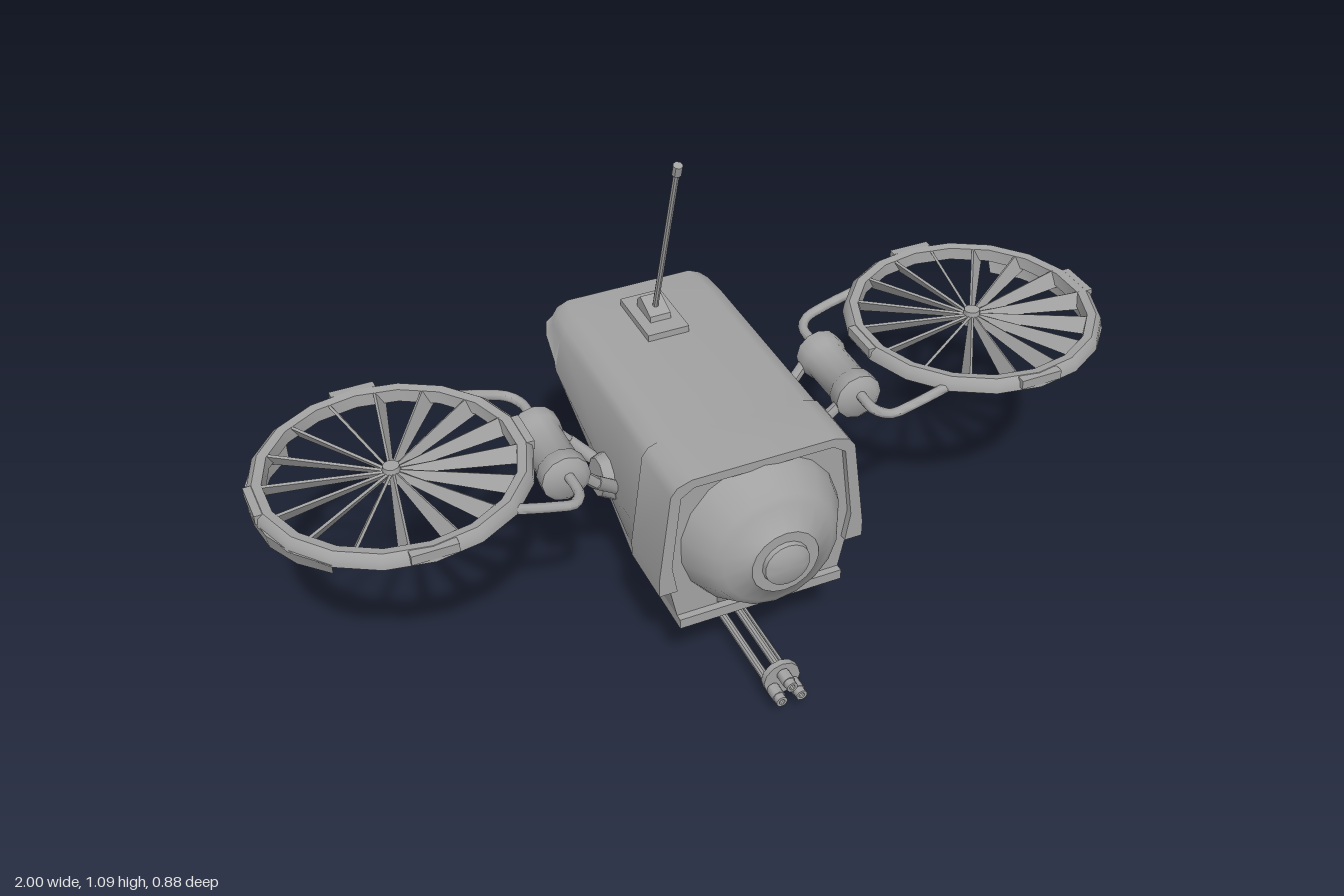
import * as THREE from 'three';
import { toCreasedNormals } from 'three/addons/utils/BufferGeometryUtils.js';

const grey = new THREE.MeshStandardMaterial({ color: 0xa2a2a2 });
const V = (x, y, z) => new THREE.Vector3(x, y, z);

function add(parent, name, geometry, x = 0, y = 0, z = 0, crease = 0.8) {
  const mesh = new THREE.Mesh(toCreasedNormals(geometry, crease), grey);
  mesh.name = name;
  mesh.position.set(x, y, z);
  parent.add(mesh);
  return mesh;
}

const box = (w, h, d) => new THREE.BoxGeometry(w, h, d);
const cyl = (r1, r2, h, n = 12) => new THREE.CylinderGeometry(r1, r2, h, n);
const lathe = (pts, n, start = 0, len = Math.PI * 2) =>
  new THREE.LatheGeometry(pts.map(p => new THREE.Vector2(...p)), n, start, len);
const shapeOf = pts => new THREE.Shape(pts.map(p => new THREE.Vector2(...p)));

// Side profile given as (z, y), extruded across x
function sideProfile(pts, width, bevel = 0) {
  const g = new THREE.ExtrudeGeometry(shapeOf(pts), {
    depth: width - 2 * bevel, bevelEnabled: bevel > 0, bevelSegments: 1,
    bevelSize: bevel, bevelThickness: bevel, bevelOffset: -bevel,
  });
  return g.translate(0, 0, bevel - width / 2).rotateY(-Math.PI / 2);
}

function rod(parent, name, a, b, r, n = 8) {
  const mesh = add(parent, name, cyl(r, r, a.distanceTo(b), n));
  mesh.position.copy(a).add(b).multiplyScalar(0.5);
  mesh.quaternion.setFromUnitVectors(V(0, 1, 0), b.clone().sub(a).normalize());
}

// Skin over equal rings, back to front, each counterclockwise from the front
function loft(rings) {
  const n = rings[0].length, last = (rings.length - 1) * n, index = [];
  for (let i = 0; i < rings.length - 1; i++) for (let j = 0; j < n; j++) {
    const a = i * n + j, b = i * n + (j + 1) % n;
    index.push(a, b, b + n, a, b + n, a + n);
  }
  for (let j = 1; j < n - 1; j++) index.push(0, j + 1, j, last, last + j, last + j + 1);
  const g = new THREE.BufferGeometry();
  g.setAttribute('position', new THREE.Float32BufferAttribute(rings.flat(2), 3));
  g.setIndex(index);
  return g;
}

function buildBody() {
  const body = new THREE.Group();
  body.name = 'body';
  const ring = ([z, yb, s]) => {
    const mid = yb + (0.588 - yb) * 0.45;
    const half = [[0.17, yb], [0.195, yb + 0.01], [0.226, mid], [0.208, 0.588], [0.195, 0.608], [0.165, 0.62]];
    const right = half.map(([x, y]) => [x * s, y, z]);
    return [...right, ...right.map(([x, y]) => [-x, y, z]).reverse()];
  };
  add(body, 'hull', loft([[-0.44, 0.565, 0.93], [-0.41, 0.535, 0.98], [-0.35, 0.475, 1], [-0.345, 0.435, 1],
    [0.02, 0.235, 1], [0.27, 0.235, 1]].map(ring)), 0, 0, 0, 0.95);

  // Arched guard around the front
  const outer = [[0.242, 0.33], [0.242, 0.37], [0.213, 0.59], [0.198, 0.61], [0.165, 0.6215]];
  const inner = [[0.16, 0.6], [0.19, 0.58], [0.212, 0.4], [0.2, 0.33]];
  const mirrored = pts => pts.map(([x, y]) => [-x, y]).reverse();
  const arch = shapeOf([...outer, ...mirrored(outer), ...mirrored(inner), ...inner]);
  add(body, 'frontGuard', new THREE.ExtrudeGeometry(arch, { depth: 0.15, bevelEnabled: false }), 0, 0, 0.137);

  add(body, 'bellyPlate', sideProfile([[0.287, 0.22], [0.02, 0.22], [-0.36, 0.42], [-0.36, 0.445],
    [0.02, 0.245], [0.287, 0.245]], 0.39));
  add(body, 'tailBlock', sideProfile([[-0.25, 0.4], [-0.35, 0.455], [-0.4, 0.505], [-0.4, 0.55], [-0.25, 0.55]], 0.26, 0.012));

  // Nose sensor
  const nose = lathe([[0.188, 0.265], [0.178, 0.295], [0.145, 0.35], [0.128, 0.36], [0.082, 0.386],
    [0.078, 0.393], [0.054, 0.393], [0.052, 0.404], [0.035, 0.412], [0, 0.414]], 18);
  add(body, 'nose', nose.rotateX(Math.PI / 2), 0, 0.425, 0);
  add(body, 'chin', sideProfile([[0.26, 0.24], [0.28, 0.255], [0.335, 0.31], [0.26, 0.34]], 0.2));

  // Antenna
  add(body, 'antennaPlate', box(0.1, 0.018, 0.165), 0, 0.627, -0.288);
  add(body, 'antennaWedge', sideProfile([[-0.25, 0.63], [-0.253, 0.65], [-0.31, 0.672], [-0.328, 0.655], [-0.33, 0.63]], 0.05));
  rod(body, 'antennaRod', V(0, 0.65, -0.284), V(0, 1.075, -0.15), 0.007);
  rod(body, 'antennaTip', V(0, 1.065, -0.153), V(0, 1.09, -0.145), 0.011);
  return body;
}

// Left rotor with its pod and mount
function buildRotor() {
  const rotor = new THREE.Group();
  const cx = 0.7, cz = -0.048;
  add(rotor, 'rim', lathe([[0.262, 0.568], [0.285, 0.558], [0.3, 0.57], [0.297, 0.59], [0.285, 0.6],
    [0.265, 0.597], [0.262, 0.568]], 18), cx, 0, cz);
  // Skirt hanging below the outer part of the rim, tapered at both ends
  const skirt = lathe([[0.27, 0.575], [0.272, 0.537], [0.295, 0.535], [0.301, 0.575], [0.27, 0.575]], 6, Math.PI * 0.22, Math.PI * 0.56);
  const sp = skirt.attributes.position;
  for (let k = 0; k < sp.count; k++) if (sp.getY(k) < 0.55) sp.setZ(k, sp.getZ(k) * 0.92);
  add(rotor, 'rimSkirt', skirt, cx, 0, cz);
  for (let i = 0; i < 4; i++) {
    const a = i * Math.PI / 2;
    add(rotor, 'rimClip', box(0.02, 0.022, 0.1), cx + Math.cos(a) * 0.289, 0.588, cz + Math.sin(a) * 0.289).rotation.y = -a;
  }
  add(rotor, 'hub', cyl(0.018, 0.024, 0.035, 10), cx, 0.578, cz);
  // Tilted blades, widening toward the rim
  for (let i = 0; i < 16; i++) {
    const g = box(0.265, 0.006, 0.042), p = g.attributes.position;
    for (let k = 0; k < p.count; k++) if (p.getX(k) < 0) p.setZ(k, p.getZ(k) * 0.3);
    g.translate(0.1375, 0, 0).rotateX(1.05);
    add(rotor, 'blade', g, cx, 0.578, cz).rotation.y = (i + 0.5) * Math.PI / 8;
  }

  // Pod with collars
  add(rotor, 'pod', lathe([[0, -0.113], [0.04, -0.113], [0.056, -0.1], [0.056, -0.065], [0.049, -0.055], [0.049, 0.055],
    [0.056, 0.065], [0.056, 0.1], [0.04, 0.113], [0, 0.113]], 12).rotateX(Math.PI / 2), 0.352, 0.515, cz);
  for (const s of [-1, 1]) {
    const path = new THREE.CatmullRomCurve3([V(0.35, 0.528, cz + s * 0.1), V(0.352, 0.53, cz + s * 0.175),
      V(0.375, 0.535, cz + s * 0.207), V(0.42, 0.548, cz + s * 0.214), V(0.52, 0.575, cz + s * 0.214)]);
    add(rotor, 'podTube', new THREE.TubeGeometry(path, 16, 0.012, 8));
    rod(rotor, 'mountStrut', V(0.315, 0.505, cz + s * 0.088), V(0.278, 0.465, cz + s * 0.08), 0.014);
    rod(rotor, 'mountStrut', V(0.28, 0.468, cz + s * 0.081), V(0.215, 0.405, cz + s * 0.045), 0.016);
  }
  // Disc against the hull
  add(rotor, 'mountDisc', cyl(0.045, 0.062, 0.04, 10), 0.228, 0.41, cz).rotation.z = -Math.PI / 2 + 0.1;
  return rotor;
}

function buildTurret() {
  const turret = new THREE.Group();
  turret.name = 'turret';
  const tz = -0.193;
  add(turret, 'column', cyl(0.092, 0.092, 0.2, 12), 0, 0.34, tz);
  add(turret, 'turntable', lathe([[0, 0.183], [0.1, 0.183], [0.128, 0.2], [0.128, 0.25], [0.1, 0.253], [0, 0.253]], 18), 0, 0, tz);
  for (let i = 0; i < 6; i++) {
    const a = i * Math.PI / 3;
    add(turret, 'ringBolt', cyl(0.014, 0.018, 0.014, 8), Math.cos(a) * 0.107, 0.254, tz + Math.sin(a) * 0.107);
  }
  for (const s of [-1, 1]) {
    add(turret, 'columnRib', sideProfile([[-0.165, 0.25], [-0.165, 0.29], [-0.185, 0.312], [-0.205, 0.312],
      [-0.225, 0.29], [-0.225, 0.25]], 0.04), s * 0.09);
    add(turret, 'yoke', box(0.025, 0.07, 0.135), s * 0.063, 0.155, tz);
    for (const z of [-0.155, -0.232]) add(turret, 'yokeBlock', box(0.014, 0.034, 0.025), s * 0.08, 0.165, z);
  }
  add(turret, 'yokeCap', cyl(0.068, 0.068, 0.05, 12), 0, 0.165, tz);
  add(turret, 'pivot', sideProfile([[-0.13, 0.15], [-0.25, 0.15], [-0.247, 0.06], [-0.235, 0.03], [-0.16, 0.03], [-0.12, 0.07]], 0.095, 0.012));

  // Gun housing
  add(turret, 'gunBody', sideProfile([[0.168, 0.11], [0.168, 0.13], [0.06, 0.165], [-0.08, 0.165], [-0.11, 0.135], [-0.14, 0.118],
    [-0.15, 0.07], [-0.17, 0.045], [-0.245, 0.045], [-0.245, 0.028], [-0.165, 0.028], [-0.15, 0.008], [0.06, 0.008], [0.06, 0.05],
    [0.085, 0.05], [0.105, 0.07], [0.105, 0.1]], 0.11, 0.012));
  for (let i = 0; i < 4; i++) {
    const z = 0.062 + i * 0.031, y = 0.165 - i * 0.006;
    add(turret, 'coolingFin', sideProfile([[z - 0.006, y - 0.04], [z + 0.009, y - 0.04], [z + 0.015, y], [z, y - 0.004]], 0.055));
  }
  for (const s of [-1, 1]) {
    add(turret, 'sidePanel', box(0.03, 0.038, 0.095), s * 0.06, 0.095, -0.025);
    for (let i = 0; i < 4; i++) add(turret, 'shell', cyl(0.0085, 0.0085, 0.036, 8), s * 0.058, 0.025, -0.022 + i * 0.02);
  }

  // Three barrels held by a plate
  const along = (name, r, len, x, y, z, n = 10) => { add(turret, name, cyl(r, r, len, n), x, y, z).rotation.x = Math.PI / 2; };
  along('barrelSocket', 0.036, 0.07, 0, 0.083, 0.085, 12);
  along('barrelPlate', 0.044, 0.015, 0, 0.086, 0.387, 12);
  for (const [x, y] of [[0, 0.104], [0.024, 0.07], [-0.024, 0.07]]) {
    along('barrel', 0.01, 0.34, x, y, 0.25);
    along('muzzle', 0.015, 0.03, x, y, 0.413);
    const tip = lathe([[0.013, 0], [0.013, 0.016], [0.007, 0.016], [0.007, 0]], 10).rotateX(Math.PI / 2);
    add(turret, 'muzzleTip', tip, x, y, 0.428);
  }
  return turret;
}

export function createModel() {
  const model = new THREE.Group();
  model.name = 'drone';
  model.add(buildBody(), buildTurret());
  // Two rotors, the second turned round and its depth offset matched
  const left = buildRotor(), right = buildRotor();
  left.name = 'leftRotor';
  right.name = 'rightRotor';
  right.rotation.y = Math.PI;
  right.position.z = -0.096;
  model.add(left, right);
  return model;
}
